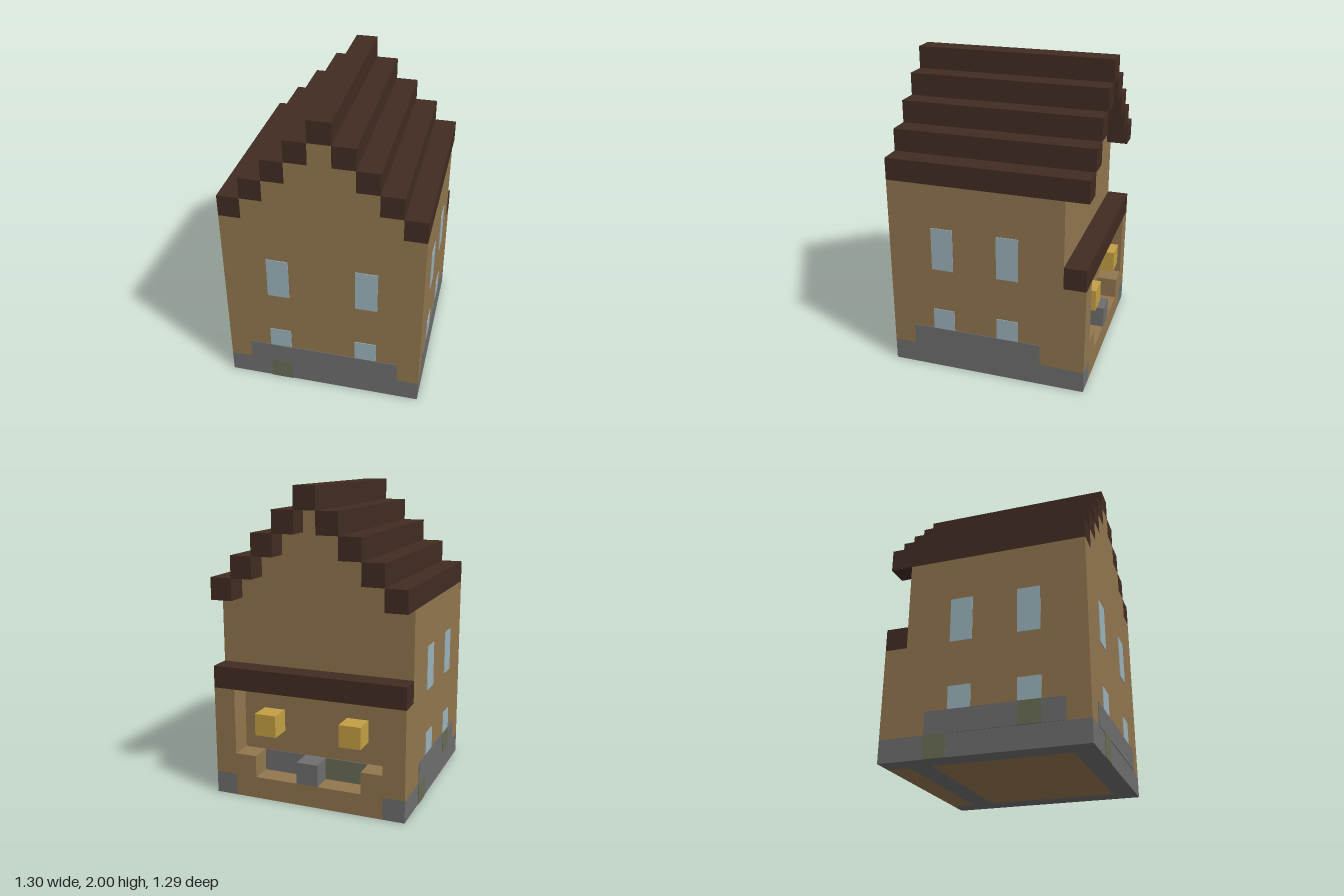
import * as THREE from 'three';

const U = 1 / 7;    // one block
const T = 0.03;     // how far painted plates stand proud, in blocks

const material = (name, color) => {
  const m = new THREE.MeshStandardMaterial({ color });
  m.name = name;
  return m;
};

export function createModel() {
  const plaster = material('plaster', 0x92764e);
  const stone = material('stone', 0x6e6e6e);
  const timber = material('darkTimber', 0x412c22);
  const glass = material('glass', 0x9cb3bc);
  const moss = material('mossyStone', 0x696c56);
  const lamp = material('lampYellow', 0xc4a044);

  const house = new THREE.Group();
  house.name = 'house';

  // Box from its limits, measured in blocks
  const box = (name, mat, x0, x1, y0, y1, z0, z1) => {
    const g = new THREE.BoxGeometry((x1 - x0) * U, (y1 - y0) * U, (z1 - z0) * U);
    const m = new THREE.Mesh(g, mat);
    m.name = name;
    m.position.set((x0 + x1) / 2 * U, (y0 + y1) / 2 * U, (z0 + z1) / 2 * U);
    house.add(m);
  };
  // Thin plates on the front, the shop wall and the two sides
  const frontPlate = (name, mat, x0, x1, y0, y1, t = T) => box(name, mat, x0, x1, y0, y1, 4.5 - t, 4.5 + t);
  const shopPlate = (name, mat, x0, x1, y0, y1, t = T) => box(name, mat, x0, x1, y0, y1, -3.5 - t, -3.5 + t);
  const sidePlate = (name, mat, s, z0, z1, y0, y1, t = T) =>
    box(name, mat, s * 4.5 - t, s * 4.5 + t, y0, y1, z0, z1);

  // Foundation ring, floor and shop sill
  for (const s of [-1, 1]) box('sideFoundation', stone, s * 4 - 0.5, s * 4 + 0.5, 0, 1, -4.5, 4.5);
  box('frontFoundation', stone, -3.5, 3.5, 0, 1, 3.5, 4.5);
  box('backFoundation', stone, -3.5, 3.5, 0, 1, -3.5, -2.5);
  box('floor', plaster, -3.5, 3.5, 0, 1, -2.5, 3.5);
  box('shopSill', plaster, -3.5, 3.5, 0, 1, -4.5, -3.5);

  // Walls with stepped gables
  const right = [[4.5, 1], [4.5, 9]];
  for (let i = 0; i < 4; i++) right.push([3.5 - i, 9 + i], [3.5 - i, 10 + i]);
  const left = right.map(([x, y]) => [-x, y]).reverse();
  const profile = new THREE.Shape([...right, ...left].map(([x, y]) => new THREE.Vector2(x * U, y * U)));
  const walls = new THREE.Mesh(
    new THREE.ExtrudeGeometry(profile, { depth: 8 * U, bevelEnabled: false }), plaster);
  walls.name = 'walls';
  walls.position.z = -3.5 * U;
  house.add(walls);

  // Stepped roof beams
  for (let x = -4; x <= 4; x++) {
    const y = 13 - Math.abs(x);
    box('roofBeam', timber, x - 0.5, x + 0.5, y, y + 1, -4.5, 4.5);
  }

  // Upper stone course
  frontPlate('frontStoneCourse', stone, -3.5, 3.5, 1, 2);
  shopPlate('shopStoneCourse', stone, -3.5, 3.5, 1, 2);
  for (const s of [-1, 1]) sidePlate('sideStoneCourse', stone, s, -2.5, 3.5, 1, 2);

  // Mossy patches
  frontPlate('mossPatch', moss, -2.5, -1.5, 0, 1);
  sidePlate('mossPatch', moss, -1, -2.5, -1.5, 0, 1);
  sidePlate('mossPatch', moss, -1, 1.5, 2.5, 1, 2, 2 * T);
  shopPlate('mossPatch', moss, -2.5, -0.5, 1, 2, 2 * T);

  // Windows: upper row two blocks high, lower row one
  for (const [y0, y1] of [[5, 7], [2, 3]]) {
    for (const x of [-2, 2]) frontPlate('frontWindow', glass, x - 0.5, x + 0.5, y0, y1);
    for (const s of [-1, 1])
      for (const z of [-1, 2]) sidePlate('sideWindow', glass, s, z - 0.5, z + 0.5, y0, y1);
  }

  // Shopfront: posts, steps, lamps, stone counter and beam
  for (const s of [-1, 1]) {
    box('shopPost', plaster, s * 4 - 0.5, s * 4 + 0.5, 1, 5, -4.5, -3.5);
    box('shopStep', plaster, s * 3 - 0.5, s * 3 + 0.5, 1, 2, -4.5, -3.5);
    box('lamp', lamp, s * 2 - 0.5, s * 2 + 0.5, 3, 4, -4.5, -3.5);
  }
  box('stoneBlock', stone, -0.5, 0.5, 1, 2, -4.5, -3.5);
  box('shopBeam', timber, -4.5, 4.5, 5, 6, -4.5, -3.5);

  return house;
}
